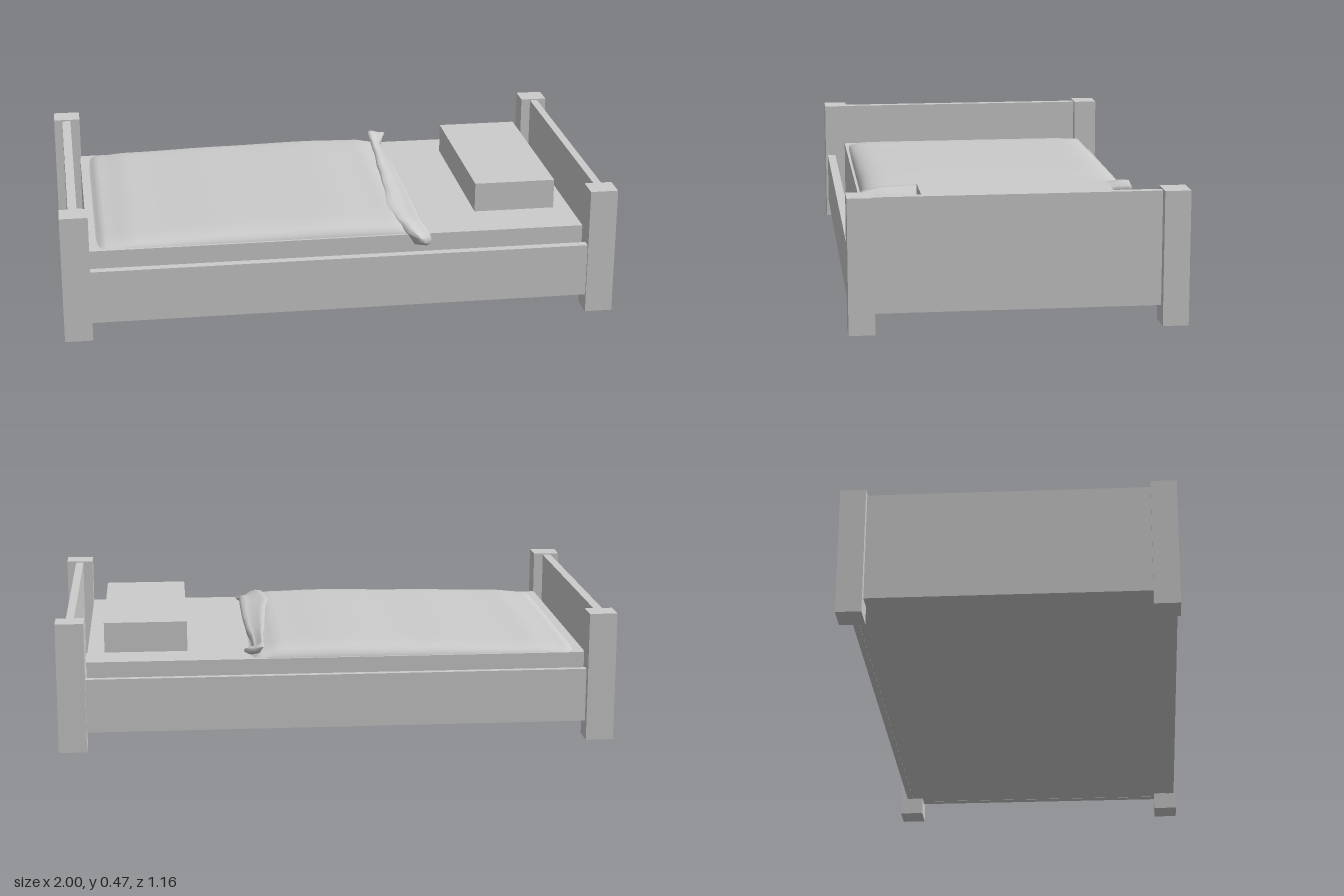
import * as THREE from 'three';

const material = new THREE.MeshStandardMaterial({ color: 0xcccccc });
const cloth = new THREE.MeshStandardMaterial({ color: 0xcccccc, side: THREE.DoubleSide });

// Box given by its limits on each axis
function box(name, [x0, x1], [y0, y1], [z0, z1]) {
  const mesh = new THREE.Mesh(new THREE.BoxGeometry(x1 - x0, y1 - y0, z1 - z0), material);
  mesh.position.set((x0 + x1) / 2, (y0 + y1) / 2, (z0 + z1) / 2);
  mesh.name = name;
  return mesh;
}

// Smooth skin over rows of points
function loft(name, rows) {
  const n = rows[0].length, index = [];
  for (let i = 0; i < rows.length - 1; i++) {
    for (let j = 0; j < n - 1; j++) {
      const a = i * n + j, b = a + n;
      index.push(a, a + 1, b, b, a + 1, b + 1);
    }
  }
  const geometry = new THREE.BufferGeometry();
  geometry.setAttribute('position', new THREE.Float32BufferAttribute(rows.flat(2), 3));
  geometry.setIndex(index);
  geometry.computeVertexNormals();
  const mesh = new THREE.Mesh(geometry, cloth);
  mesh.name = name;
  return mesh;
}

// Linear interpolation through [t, value, value...] keys
function sample(keys, t) {
  let i = 1;
  while (i < keys.length - 1 && t > keys[i][0]) i++;
  const a = keys[i - 1], b = keys[i];
  const f = THREE.MathUtils.clamp((t - a[0]) / (b[0] - a[0]), 0, 1);
  const s = f * f * (3 - 2 * f);
  return a.slice(1).map((v, k) => v + (b[k + 1] - v) * s);
}

// Blanket: low cushion with rounded edges and rounded foot corners
function blanket() {
  const heights = [[-0.88, 0.308], [-0.84, 0.325], [-0.72, 0.337], [-0.35, 0.348],
    [0, 0.355], [0.2, 0.35], [0.27, 0.336], [0.31, 0.31]];
  const rows = [];
  for (let i = 0; i <= 48; i++) {
    const x = -0.285 - 0.595 * Math.cos((i / 48) * Math.PI);
    const r = 0.05, d = Math.max(0, 1 - (x + 0.88) / r);
    const half = 0.495 - r * (1 - Math.sqrt(Math.max(0, 1 - d * d)));
    const [top] = sample(heights, x);
    const row = [];
    for (let j = 0; j <= 40; j++) {
      const v = Math.sin((j / 20 - 1) * Math.PI / 2);
      const edge = Math.sqrt(Math.max(0, 1 - Math.abs(v) ** 14));
      row.push([x, 0.3 + (top - 0.3) * edge, v * half - 0.003]);
    }
    rows.push(row);
  }
  return loft('blanket', rows);
}

// Turned-back hem: closed cross-sections running across the bed
function hem() {
  // z, left x, right x, top y, bottom y
  const keys = [[-0.505, 0.265, 0.335, 0.362, 0.335], [-0.48, 0.26, 0.32, 0.365, 0.32],
    [-0.42, 0.26, 0.3, 0.358, 0.308], [-0.3, 0.255, 0.3, 0.355, 0.308],
    [-0.1, 0.24, 0.312, 0.354, 0.308], [0.1, 0.225, 0.317, 0.353, 0.308],
    [0.3, 0.2, 0.317, 0.353, 0.306], [0.42, 0.215, 0.315, 0.352, 0.3],
    [0.48, 0.235, 0.33, 0.345, 0.27], [0.51, 0.25, 0.335, 0.33, 0.265],
    [0.522, 0.28, 0.31, 0.31, 0.28]];
  // Section outline as fractions of width and height
  const outline = [[0, 0.75], [0.08, 0.98], [0.3, 0.9], [0.6, 0.66], [0.78, 0.64],
    [0.93, 0.62], [1, 0.4], [0.97, 0.1], [0.8, 0], [0.3, 0.1], [0, 0.75]];
  const section = (z, s = 1) => {
    const [x0, x1, y1, y0] = sample(keys, z);
    return outline.map(([u, v]) => [
      (x0 + x1) / 2 + (u - 0.5) * (x1 - x0) * s,
      (y0 + y1) / 2 + (v - 0.5) * (y1 - y0) * s, z]).reverse();
  };
  const rows = [section(-0.505, 0)];
  for (let i = 0; i <= 60; i++) rows.push(section(-0.505 + (1.027 * i) / 60));
  rows.push(section(0.522, 0));
  return loft('blanketHem', rows);
}

export function createModel() {
  const bed = new THREE.Group();
  bed.name = 'bed';

  // Corner posts
  for (const x of [-0.95, 0.95]) {
    for (const z of [-0.535, 0.535]) {
      bed.add(box('post', [x - 0.05, x + 0.05], [0, 0.47], [z - 0.045, z + 0.045]));
    }
  }

  // End boards, side rails and base
  bed.add(box('footboard', [-0.968, -0.936], [0.065, 0.465], [-0.5, 0.5]));
  bed.add(box('headboard', [0.936, 0.965], [0.065, 0.465], [-0.5, 0.5]));
  bed.add(box('frontRail', [-0.92, 0.92], [0.065, 0.26], [0.54, 0.572]));
  bed.add(box('backRail', [-0.92, 0.92], [0.065, 0.26], [-0.553, -0.53]));
  bed.add(box('base', [-0.94, 0.94], [0.066, 0.09], [-0.535, 0.545]));

  // Bedding
  bed.add(box('mattress', [-0.904, 0.897], [0.09, 0.31], [-0.503, 0.5]));
  bed.add(box('pillow', [0.535, 0.835], [0.31, 0.42], [-0.365, 0.31]));
  bed.add(blanket(), hem());
  return bed;
}
